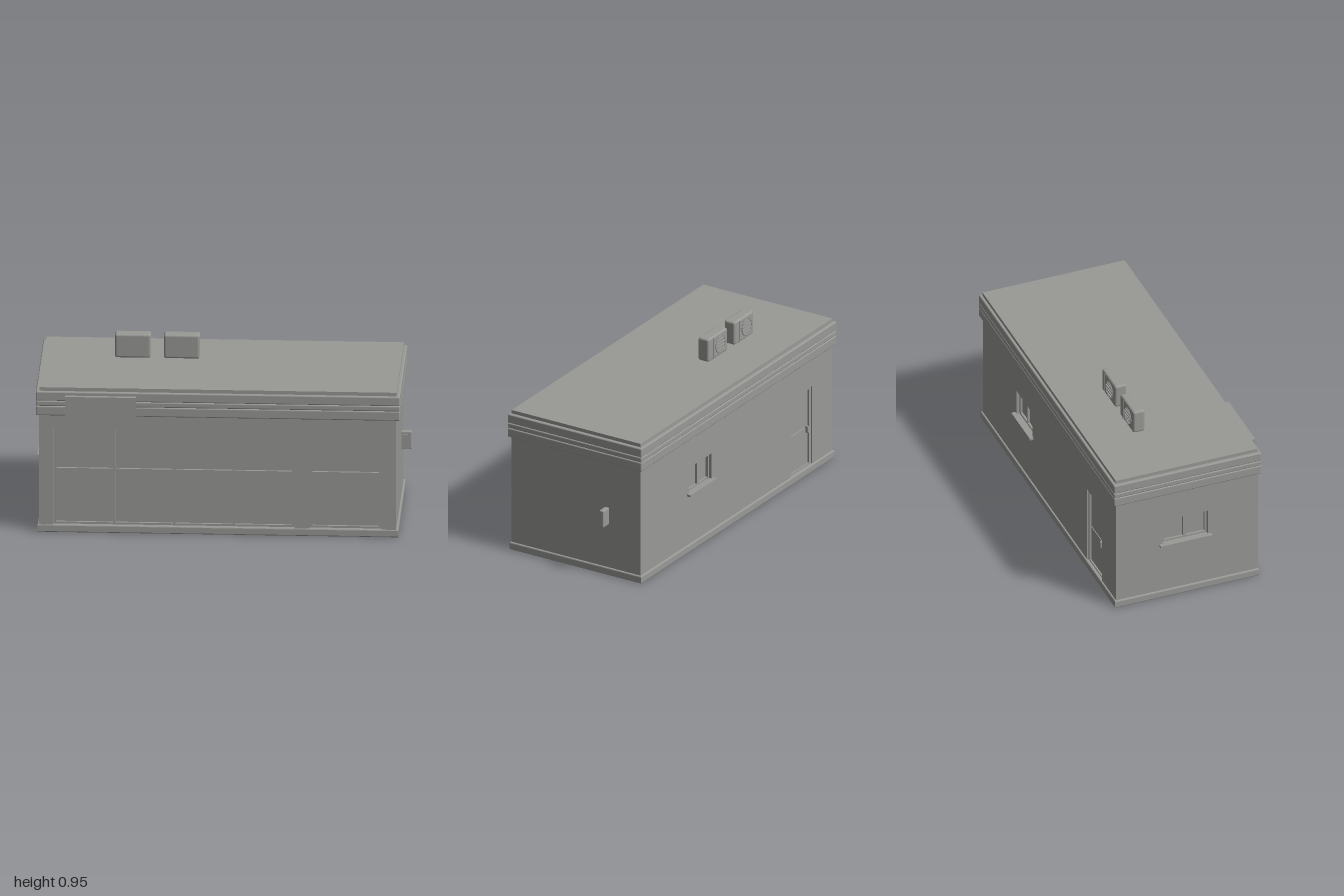
import * as THREE from 'three';
import { RoundedBoxGeometry } from 'three/addons/geometries/RoundedBoxGeometry.js';

export function createModel() {
  const model = new THREE.Group();
  model.name = 'shopBuilding';
  const grey = new THREE.MeshStandardMaterial({ color: 0x999996 });
  grey.name = 'plain grey';
  const DEPTH = 0.03; // depth of the window and door recesses

  const add = (parent, name, geometry) => {
    const mesh = new THREE.Mesh(geometry, grey);
    mesh.name = name;
    parent.add(mesh);
    return mesh;
  };
  // Boxes given by their limits on each axis; radius rounds the edges
  const box = (parent, name, [x0, x1], [y0, y1], [z0, z1], radius = 0) => {
    const s = [x1 - x0, y1 - y0, z1 - z0];
    const geo = radius ? new RoundedBoxGeometry(...s, 3, radius) : new THREE.BoxGeometry(...s);
    const mesh = add(parent, name, geo);
    mesh.position.set((x0 + x1) / 2, (y0 + y1) / 2, (z0 + z1) / 2);
    return mesh;
  };
  const rect = (Type, x0, x1, y0, y1) => {
    const p = new Type();
    p.moveTo(x0, y0);
    p.lineTo(x1, y0);
    p.lineTo(x1, y1);
    p.lineTo(x0, y1);
    p.closePath();
    return p;
  };

  // Wall with openings; its local z = 0 is the glass plane, z = DEPTH the outside
  const wall = (name, u0, u1, openings, angle, x, z) => {
    const group = new THREE.Group();
    group.name = name;
    group.rotation.y = angle;
    group.position.set(x, 0, z);
    model.add(group);
    const shape = rect(THREE.Shape, u0, u1, 0.01, 0.7);
    for (const o of openings) shape.holes.push(rect(THREE.Path, ...o));
    add(group, name + 'Panel', new THREE.ExtrudeGeometry(shape, { depth: DEPTH, bevelEnabled: false }));
    return group;
  };
  // Outer frame with glazing bars: columns and a list of crossbar heights
  const frame = (parent, name, [x0, x1, y0, y1], columns, rows, t, d = 0.014) => {
    for (let i = 0; i <= columns; i++) {
      const x = x0 + ((x1 - x0 - t) * i) / columns;
      box(parent, name + 'Upright', [x, x + t], [y0, y1], [0, d]);
    }
    for (const y of [y0 + t / 2, ...rows, y1 - t / 2]) {
      box(parent, name + 'Crossbar', [x0, x1], [y - t / 2, y + t / 2], [0, d - 0.001]);
    }
  };

  // Inner core: its faces are the glass, its underside the floor
  box(model, 'glassAndFloorCore', [-0.945, 0.94], [0.03, 0.7], [-0.39, 0.37]);

  // Front wall with shop window and glazed door
  const display = [-0.9, 0.395, 0.04, 0.595];
  const entry = [0.475, 0.86, 0.04, 0.595];
  const front = wall('frontWall', -0.975, 0.94, [display, entry], 0, 0, 0.37);
  frame(front, 'shopWindow', display, 4, [0.352], 0.014);
  frame(front, 'glassDoor', entry, 1, [0.352], 0.014);

  // Small two-pane window with sill
  const smallWindow = (parent, u0, u1) => {
    frame(parent, 'smallWindow', [u0, u1, 0.34, 0.49], 2, [], 0.012);
    box(parent, 'windowSill', [u0 - 0.02, u1 + 0.02], [0.33, 0.342], [0, DEPTH + 0.023]);
  };

  // Back wall with window and service door (local x is mirrored)
  const backDoor = [0.56, 0.775, 0.035, 0.5];
  const back = wall('backWall', -0.94, 0.975, [[-0.455, -0.23, 0.34, 0.49], backDoor], Math.PI, 0, -0.39);
  smallWindow(back, -0.455, -0.23);
  frame(back, 'backDoorFrame', backDoor, 1, [], 0.016, 0.022);
  box(back, 'backDoorLowerPanel', [0.576, 0.759], [0.045, 0.262], [0, 0.012]);
  box(back, 'backDoorUpperPanel', [0.576, 0.759], [0.27, 0.484], [0, 0.012]);
  box(back, 'backDoorHandle', [0.735, 0.748], [0.235, 0.275], [0.01, 0.03], 0.004);

  // Side wall with window; the opposite side is plain
  const side = wall('sideWall', -0.39, 0.37, [[-0.15, 0.11, 0.34, 0.49]], -Math.PI / 2, -0.945, 0);
  smallWindow(side, -0.15, 0.11);

  // Plinth: open ring below the walls
  const ring = rect(THREE.Shape, -0.979, 0.944, -0.399, 0.424);
  ring.holes.push(rect(THREE.Path, -0.925, 0.89, -0.345, 0.37));
  const plinth = new THREE.ExtrudeGeometry(ring, {
    depth: 0.031, bevelThickness: 0.006, bevelSize: 0.006, bevelSegments: 2,
  });
  plinth.rotateX(-Math.PI / 2).translate(0, 0.006, 0);
  add(model, 'plinth', plinth);

  // Cornice bands and roof slab
  for (const [y0, y1] of [[0.665, 0.718], [0.718, 0.748], [0.748, 0.8]]) {
    box(model, 'corniceBand', [-0.993, 0.96], [y0, y1], [-0.438, 0.413], 0.007);
  }
  box(model, 'roofSlab', [-0.975, 0.942], [0.78, 0.82], [-0.422, 0.397]);

  // Rooftop cooling units with fan guards facing back
  for (const x of [-0.497, -0.235]) {
    const unit = new THREE.Group();
    unit.name = 'coolingUnit';
    unit.position.set(x, 0.886, -0.133);
    model.add(unit);
    box(unit, 'coolingCase', [-0.096, 0.096], [-0.067, 0.067], [-0.034, 0.034], 0.012);
    box(unit, 'caseSeam', [0.046, 0.049], [-0.06, 0.06], [-0.037, -0.03]);
    const guard = add(unit, 'fanGuard', new THREE.TorusGeometry(0.047, 0.003, 6, 28));
    guard.position.set(-0.02, 0, -0.037);
    for (const y of [-0.03, -0.01, 0.01, 0.03]) {
      const half = Math.sqrt(0.047 ** 2 - y * y);
      box(unit, 'fanBar', [-0.02 - half, -0.02 + half], [y - 0.002, y + 0.002], [-0.041, -0.034]);
    }
  }

  // Blank sign board on the cornice
  box(model, 'signBoard', [-0.835, -0.455], [0.66, 0.782], [0.418, 0.44]);
  box(model, 'signBracket', [-0.75, -0.54], [0.7, 0.74], [0.405, 0.42]);

  // Meter box on the plain side
  box(model, 'meterBox', [0.935, 0.996], [0.295, 0.394], [-0.22, -0.191], 0.006);
  box(model, 'meterLatch', [0.945, 0.975], [0.348, 0.38], [-0.195, -0.186]);

  return model;
}
